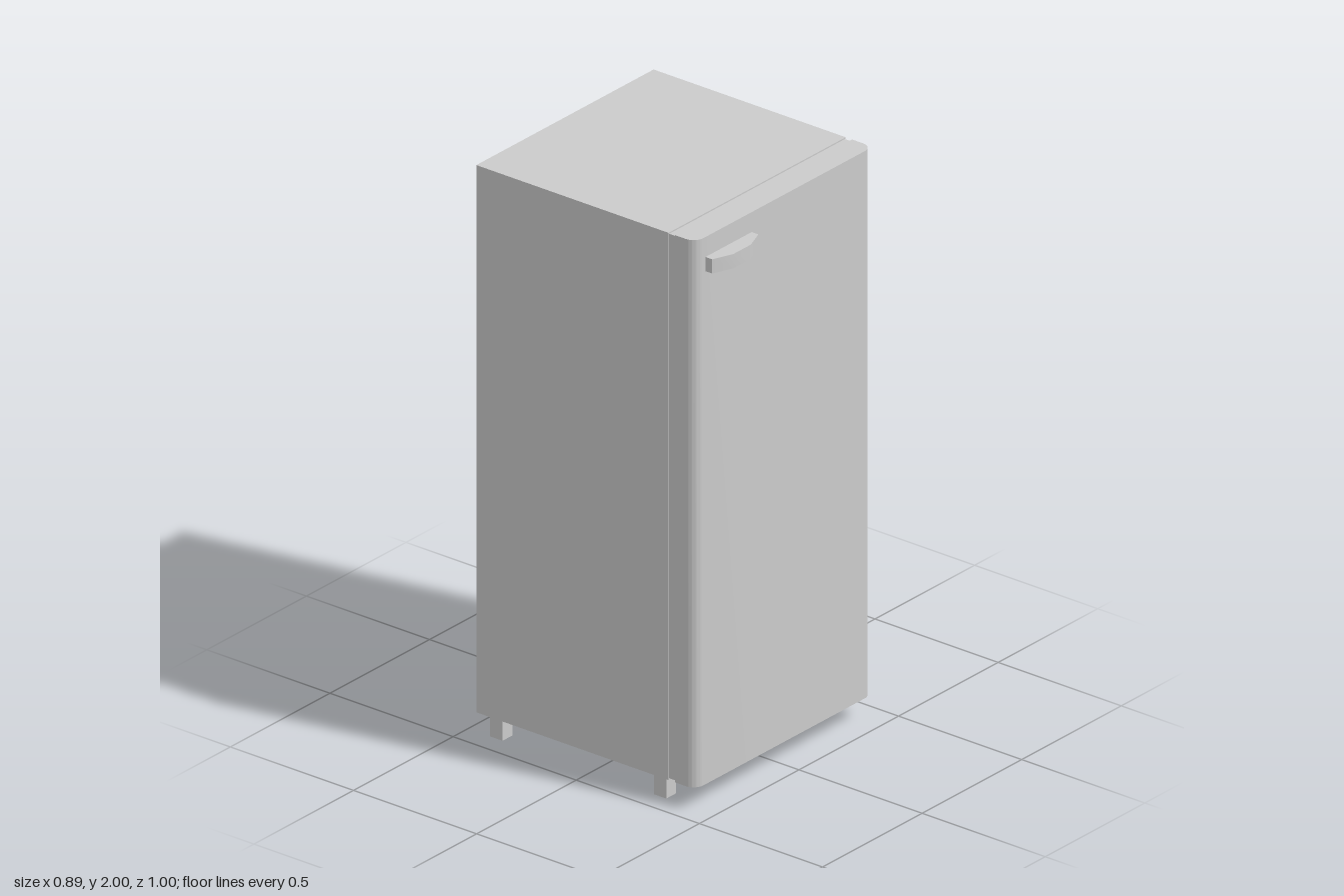
import * as THREE from 'three';
import { toCreasedNormals } from 'three/addons/utils/BufferGeometryUtils.js';

const material = new THREE.MeshStandardMaterial({ color: 0xcccccc });

export function createModel() {
  const model = new THREE.Group();
  model.name = 'refrigerator';

  const add = (name, geometry) => {
    const mesh = new THREE.Mesh(geometry, material);
    mesh.name = name;
    model.add(mesh);
    return mesh;
  };

  // Box given by its limits along each axis
  const box = (name, [x0, x1], [y0, y1], [z0, z1]) =>
    add(name, new THREE.BoxGeometry(x1 - x0, y1 - y0, z1 - z0))
      .position.set((x0 + x1) / 2, (y0 + y1) / 2, (z0 + z1) / 2);

  // Plan outline (x, z) extruded between two heights
  const slab = (name, shape, y0, y1) => {
    const geometry = new THREE.ExtrudeGeometry(shape, {
      depth: y1 - y0, bevelEnabled: false, curveSegments: 8,
    });
    geometry.rotateX(Math.PI / 2).translate(0, y1, 0);
    add(name, toCreasedNormals(geometry, 0.6));
  };

  const W = 0.445, BOTTOM = 0.08, TOP = 2;

  // Cabinet, with a rear skin cut out for the compressor bay
  box('cabinet', [-W, W], [BOTTOM, TOP], [-0.4, 0.33]);
  const skin = new THREE.Shape([
    new THREE.Vector2(-W, BOTTOM), new THREE.Vector2(W, BOTTOM),
    new THREE.Vector2(W, TOP), new THREE.Vector2(-W, TOP),
  ]);
  skin.holes.push(new THREE.Path([
    new THREE.Vector2(-0.42, 0.11), new THREE.Vector2(-0.42, 0.445),
    new THREE.Vector2(0.42, 0.445), new THREE.Vector2(0.42, 0.11),
  ]));
  add('rearSkin', new THREE.ExtrudeGeometry(skin, { depth: 0.05, bevelEnabled: false }))
    .position.z = -0.45;

  // Rear parts: condenser panel, and the bay's ledge and compressor cover
  box('condenserPanel', [-0.36, 0.36], [0.66, 1.77], [-0.5, -0.45]);
  box('bayLedge', [-0.11, 0.42], [0.11, 0.27], [-0.43, -0.4]);
  box('compressorCover', [-0.41, -0.11], [0.11, 0.4], [-0.44, -0.4]);

  // Door seal, slightly inset between cabinet and door
  box('doorSeal', [-0.441, 0.441], [0.085, 1.995], [0.33, 0.356]);

  // Door with rounded front edges
  const r = 0.04, front = 0.44;
  const door = new THREE.Shape();
  door.moveTo(-W, 0.356);
  door.lineTo(W, 0.356);
  door.absarc(W - r, front - r, r, 0, Math.PI / 2);
  door.absarc(-W + r, front - r, r, Math.PI / 2, Math.PI);
  door.closePath();
  slab('door', door, BOTTOM, TOP);

  // Faceted handle near the top corner
  const handle = new THREE.Shape([
    [-0.395, 0.44], [-0.163, 0.44], [-0.163, 0.467],
    [-0.235, 0.495], [-0.323, 0.495], [-0.395, 0.467],
  ].map(([x, z]) => new THREE.Vector2(x, z)));
  slab('handle', handle, 1.88, 1.93);

  // Square feet
  for (const x of [-0.4, 0.4]) {
    for (const z of [-0.385, 0.28]) {
      box('foot', [x - 0.025, x + 0.025], [0, BOTTOM], [z - 0.025, z + 0.025]);
    }
  }

  return model;
}
